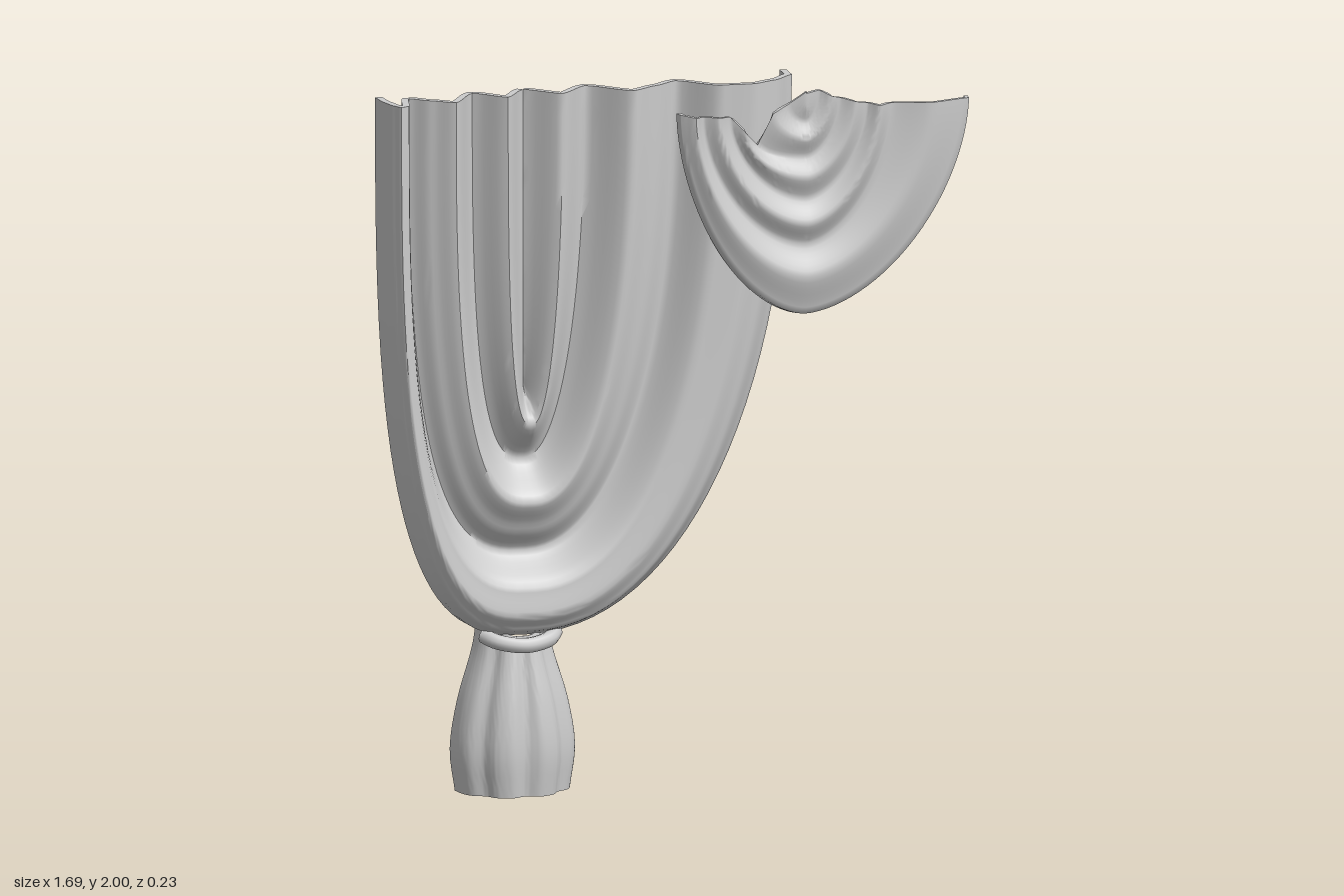
import * as THREE from 'three';
import { toCreasedNormals } from 'three/addons/utils/BufferGeometryUtils.js';

const material = new THREE.MeshStandardMaterial({ color: 0xcccccc, side: THREE.DoubleSide });

// Cloth of a given thickness over a grid of points; point(u, v) returns [x, y, z]
function cloth(name, rows, cols, thickness, point) {
  const pos = [], idx = [], W = cols + 1;
  for (let i = 0; i <= rows; i++)
    for (let j = 0; j <= cols; j++) pos.push(...point(i / rows, j / cols));
  const quad = (a, b, c, d) => idx.push(a, b, c, c, b, d);
  for (let i = 0; i < rows; i++)
    for (let j = 0; j < cols; j++) {
      const a = i * W + j;
      quad(a, a + 1, a + W, a + W + 1);
    }
  const front = new THREE.BufferGeometry();
  front.setAttribute('position', new THREE.Float32BufferAttribute(pos, 3));
  front.setIndex(idx.slice());
  front.computeVertexNormals();

  // Back layer, pushed in along the normals
  const normal = front.attributes.normal.array, N = (rows + 1) * W;
  for (let k = 0; k < N * 3; k++) pos.push(pos[k] - normal[k] * thickness);
  for (let k = 0, n = idx.length; k < n; k += 3) idx.push(idx[k] + N, idx[k + 2] + N, idx[k + 1] + N);

  // Hems along the four borders
  const hem = (a, b) => quad(a, a + N, b, b + N);
  for (let j = 0; j < cols; j++) {
    hem(j + 1, j);
    hem(rows * W + j, rows * W + j + 1);
  }
  for (let i = 0; i < rows; i++) {
    hem(i * W, i * W + W);
    hem((i + 1) * W + cols, i * W + cols);
  }
  const geo = new THREE.BufferGeometry();
  geo.setAttribute('position', new THREE.Float32BufferAttribute(pos, 3));
  geo.setIndex(idx);
  const mesh = new THREE.Mesh(toCreasedNormals(geo, 1.2), material);
  mesh.name = name;
  return mesh;
}

// Nested U-shaped folds. Each fold: [left x, right x, bottom y, z, left top y, right top y]
function drape(name, folds, centre, nLeft, nRight, thickness) {
  const last = folds.length - 1;
  return cloth(name, last * 6, 56, thickness, (u, v) => {
    const k = Math.min(Math.floor(u * last + 1e-6), last - 1), f = u * last - k;
    const soft = (f * f * (3 - 2 * f) + f) / 2;
    const at = (c, w) => folds[k][c] + (folds[k + 1][c] - folds[k][c]) * w;
    const left = v <= 0.5, n = left ? nLeft : nRight;
    const angle = (left ? v : 1 - v) * Math.PI;
    const across = Math.pow(Math.max(Math.cos(angle), 0), 2 / n);
    const down = Math.pow(Math.max(Math.sin(angle), 0), 2 / n);
    const top = at(left ? 4 : 5, f);
    return [
      centre + (at(left ? 0 : 1, f) - centre) * across,
      top + (at(2, f) - top) * down,
      at(3, soft),
    ];
  });
}

export function createModel() {
  const group = new THREE.Group();

  // Large curtain
  const curtainFolds = [
    [-0.845, 0.36, 0.45, -0.095],
    [-0.842, 0.355, 0.452, -0.03],
    [-0.83, 0.29, 0.475, 0.025],
    [-0.815, 0.22, 0.52, 0.055],
    [-0.79, 0.12, 0.60, 0.045],
    [-0.76, 0.02, 0.69, -0.05],
    [-0.71, -0.05, 0.76, -0.005],
    [-0.65, -0.13, 0.84, 0.04],
    [-0.57, -0.24, 0.95, -0.065],
    [-0.49, -0.33, 1.06, 0.015],
    [-0.42, -0.42, 1.16, -0.07],
  ].map((f) => [...f, 2, 2]);
  group.add(drape('curtain', curtainFolds, -0.42, 2.95, 2.15, 0.02));

  // Small swag hanging in front of the upper corner
  const swagFolds = [
    [-0.01, 0.843, 1.335, 0.055, 1.93, 1.925],
    [-0.005, 0.838, 1.34, 0.082, 1.93, 1.925],
    [0.03, 0.72, 1.45, 0.112, 1.925, 1.925],
    [0.06, 0.61, 1.54, 0.08, 1.92, 1.925],
    [0.10, 0.57, 1.60, 0.107, 1.92, 1.925],
    [0.14, 0.54, 1.67, 0.08, 1.915, 1.93],
    [0.18, 0.50, 1.73, 0.102, 1.87, 1.94],
    [0.22, 0.46, 1.79, 0.08, 1.83, 1.95],
    [0.26, 0.43, 1.84, 0.098, 1.92, 1.96],
    [0.31, 0.40, 1.89, 0.08, 1.94, 1.975],
    [0.36, 0.36, 1.93, 0.09, 1.975, 1.97],
  ];
  group.add(drape('swag', swagFolds, 0.36, 1.75, 1.72, 0.012));

  // Fluted tail below the tie, open at the back
  const section = (pts) => new THREE.CatmullRomCurve3(pts.map((p) => new THREE.Vector3(...p)));
  const tailShape = section([ // half width, height, depth
    [0.165, 0, 0.153], [0.18, 0.12, 0.163], [0.158, 0.25, 0.15], [0.112, 0.38, 0.122], [0.098, 0.45, 0.105],
  ]);
  group.add(cloth('tail', 16, 72, 0.01, (u, v) => {
    const s = tailShape.getPoint(u), a = Math.PI * (1 - v);
    const flute = 1 - 0.13 * Math.pow(Math.abs(Math.cos(a * 4)), 4) * Math.sin(a);
    const lift = 0.1 * u * u * u * (1 - Math.sin(a));
    return [-0.44 + s.x * Math.cos(a) * flute, s.y + lift, -0.115 + s.z * Math.sin(a) * flute];
  }));

  // Tie band
  const tiePath = section([
    [-0.545, 0.455, -0.04], [-0.515, 0.442, 0.0], [-0.44, 0.432, 0.022], [-0.365, 0.442, 0.0], [-0.335, 0.455, -0.04],
  ]);
  const tie = new THREE.Mesh(new THREE.TubeGeometry(tiePath, 24, 0.022, 10), material);
  tie.name = 'tieBand';
  group.add(tie);

  return group;
}
